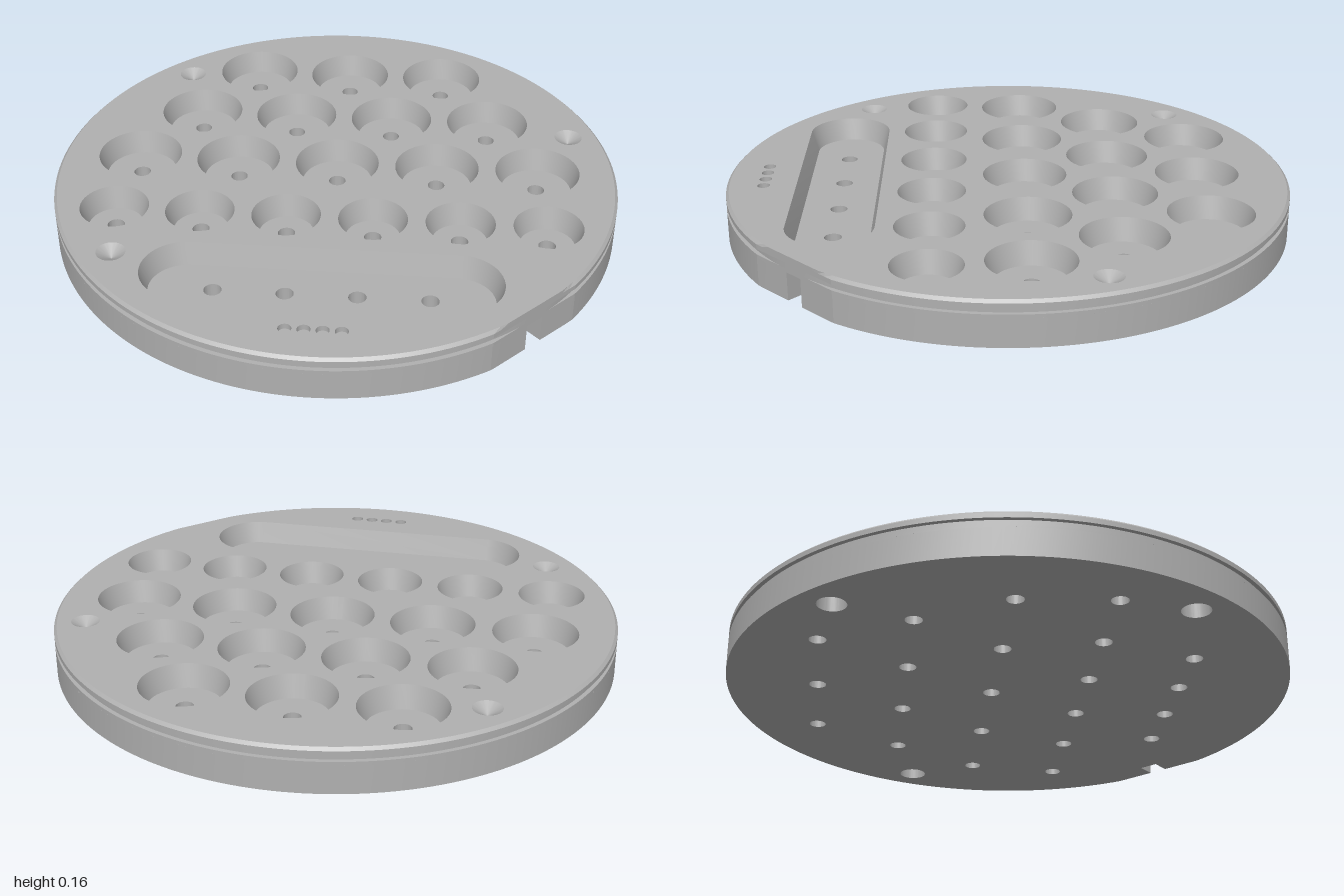
import * as THREE from 'three';
import { mergeGeometries, toCreasedNormals } from 'three/addons/utils/BufferGeometryUtils.js';

const TOP = 0.16, FLOOR = 0.08, FLAT = 0.9825, SEG = 48;
const NOTCH = { half: 0.035, depth: 0.07, height: 0.1 };

// Closed loop of [x, z] points: a circle, or a slot when half > 0
function loop(x, z, r, half = 0) {
  const pts = [];
  for (let i = 0; i < SEG; i++) {
    const t = ((i + 0.5) / SEG) * Math.PI * 2;
    pts.push([x + Math.cos(t) * r + Math.sign(Math.cos(t)) * half, z + Math.sin(t) * r]);
  }
  return pts;
}

// Disc rim clipped by the flat that faces +x +z; a is measured from the flat's centre
function rimPoint(r, a) {
  const c = Math.cos(a);
  const rho = c > 0 ? Math.min(r, FLAT / c) : r;
  return [rho * Math.cos(a + Math.PI / 4), rho * Math.sin(a + Math.PI / 4)];
}
function rim(r, start = 0, n = 200) {
  const pts = [];
  for (let i = 0; i < n; i++) pts.push(rimPoint(r, start + (i / n) * (Math.PI * 2 - 2 * start)));
  return pts;
}

// Notch corners, [inward offset, sideways offset] turned to face the flat
function notchPoint(inward, side) {
  const u = FLAT - inward, k = Math.SQRT1_2;
  return [(u - side) * k, (u + side) * k];
}

// Wall between a lower and an upper loop with equally many points
function wall(lower, y0, upper, y1, inward = false) {
  const pos = [], idx = [], n = lower.length;
  for (let i = 0; i < n; i++) {
    pos.push(lower[i][0], y0, lower[i][1], upper[i][0], y1, upper[i][1]);
    const a = 2 * i, c = a + 1, b = 2 * ((i + 1) % n), d = b + 1;
    if (inward) idx.push(a, b, c, b, d, c);
    else idx.push(a, c, b, b, c, d);
  }
  const g = new THREE.BufferGeometry();
  g.setAttribute('position', new THREE.Float32BufferAttribute(pos, 3));
  g.setIndex(idx);
  return toCreasedNormals(g, 0.15);
}

// Horizontal plate with holes, facing up or down
function plate(outline, holes, y, up) {
  const to2 = pts => pts.map(([x, z]) => new THREE.Vector2(x, up ? -z : z));
  const shape = new THREE.Shape(to2(outline));
  for (const h of holes) shape.holes.push(new THREE.Path(to2(h)));
  const g = new THREE.ShapeGeometry(shape).toNonIndexed();
  g.rotateX(up ? -Math.PI / 2 : Math.PI / 2).translate(0, y, 0);
  g.deleteAttribute('uv');
  return g;
}

export function createModel() {
  const group = new THREE.Group();
  group.name = 'roundTray';
  const grey = new THREE.MeshStandardMaterial({ color: 0xb0b0b0, side: THREE.DoubleSide });
  grey.name = 'grey';
  const add = (name, geos) => {
    const mesh = new THREE.Mesh(mergeGeometries(geos), grey);
    mesh.name = name;
    group.add(mesh);
  };

  // Pocket layout: rows of round pockets and one long slot
  const pockets = [];
  const row = (z, r, count, pitch) => {
    for (let i = 0; i < count; i++) {
      const x = (i - (count - 1) / 2) * pitch;
      pockets.push({ x, z, r, half: 0, bores: [x] });
    }
  };
  row(-0.68, 0.15, 3, 0.36);
  row(-0.37, 0.15, 4, 0.36);
  row(-0.06, 0.15, 5, 0.36);
  row(0.27, 0.12, 6, 0.3);
  pockets.push({ x: 0, z: 0.6, r: 0.15, half: 0.45, bores: [-0.36, -0.12, 0.12, 0.36] });
  const pins = [[-0.62, -0.635], [0.84, -0.295], [-0.71, 0.525]];
  const dots = [-0.09, -0.03, 0.03, 0.09];

  const topHoles = [], bottomHoles = [], pocketGeos = [], boreGeos = [];
  for (const { x, z, r, half, bores } of pockets) {
    const mouth = loop(x, z, r, half), base = loop(x, z, r - 0.024, half);
    const boreLoops = bores.map(bx => loop(bx, z, 0.03));
    topHoles.push(mouth);
    bottomHoles.push(...boreLoops);
    pocketGeos.push(wall(base, FLOOR, mouth, TOP, true), plate(base, boreLoops, FLOOR, true));
    for (const b of boreLoops) boreGeos.push(wall(b, 0, b, FLOOR, true));
  }
  add('pockets', pocketGeos);
  add('drainHoles', boreGeos);

  // Conical dimples above, blind sockets below
  const dimples = [], sockets = [];
  for (const [x, z] of pins) {
    const c = loop(x, z, 0.05);
    topHoles.push(c);
    bottomHoles.push(c);
    dimples.push(wall(loop(x, z, 0.0005), TOP - 0.03, c, TOP, true));
    sockets.push(wall(c, 0, c, 0.06, true), plate(c, [], 0.06, false));
  }
  add('dimples', dimples);
  add('sockets', sockets);

  // Row of small marker pits
  add('markerPits', dots.flatMap(x => {
    const c = loop(x, 0.865, 0.022);
    topHoles.push(c);
    return [wall(c, TOP - 0.02, c, TOP, true), plate(c, [], TOP - 0.02, true)];
  }));

  // Lower rim with the key notch cut into the flat
  const notched = rim(1, Math.atan(NOTCH.half / FLAT));
  notched.push(notchPoint(0, -NOTCH.half), notchPoint(NOTCH.depth, -NOTCH.half), notchPoint(NOTCH.depth, NOTCH.half));
  add('lowerRim', [wall(notched, 0, notched, NOTCH.height)]);
  add('notchCeiling', [plate([
    notchPoint(0, -NOTCH.half), notchPoint(NOTCH.depth, -NOTCH.half),
    notchPoint(NOTCH.depth, NOTCH.half), notchPoint(0, NOTCH.half),
  ], [], NOTCH.height, false)]);

  // Upper rim: groove and chamfered edge
  const profile = [[1, 0.1], [1, 0.113], [0.985, 0.113], [0.985, 0.133], [1, 0.133], [1, 0.15], [0.99, TOP]];
  add('groovedRim', profile.slice(1).map(([r, y], i) =>
    wall(rim(profile[i][0]), profile[i][1], rim(r), y)));

  add('topFace', [plate(rim(0.99), topHoles, TOP, true)]);
  add('bottomFace', [plate(notched, bottomHoles, 0, false)]);
  return group;
}
